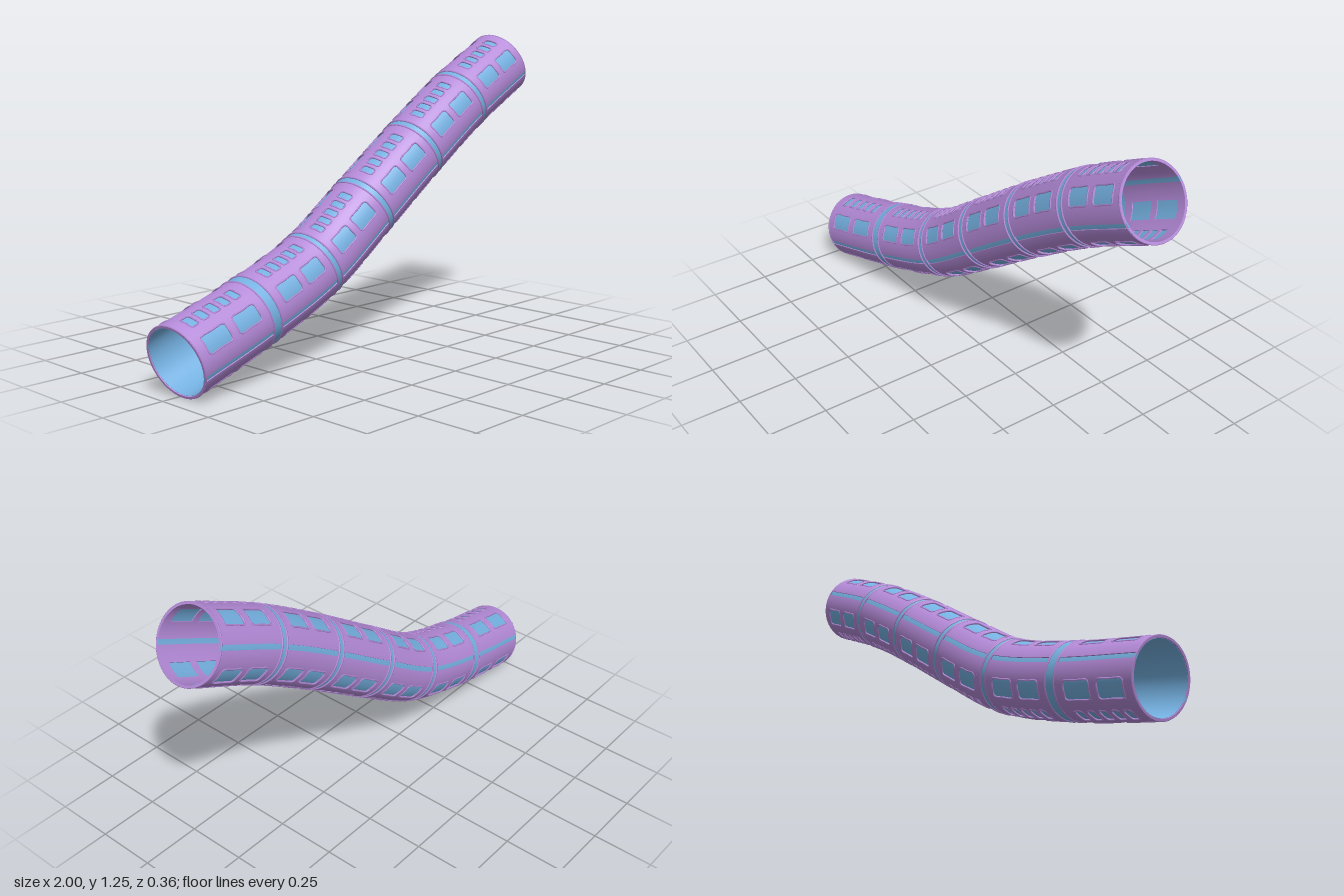
import * as THREE from 'three';
import { mergeGeometries } from 'three/addons/utils/BufferGeometryUtils.js';

const purple = new THREE.MeshStandardMaterial({ color: 0xb48ad8, side: THREE.DoubleSide });
const blue = new THREE.MeshStandardMaterial({ color: 0x74b0e0, side: THREE.DoubleSide });

// Centre line, one point per joint between tunnel sections
const SECTIONS = 6;
const path = new THREE.CatmullRomCurve3([
  [-0.965, 0.142, 0.033], [-0.595, 0.248, 0], [-0.255, 0.378, -0.022], [0.04, 0.573, -0.028],
  [0.34, 0.782, -0.028], [0.635, 0.972, -0.03], [0.93, 1.127, -0.034],
].map((p) => new THREE.Vector3(...p)));

const R_IN = 0.134, R_GLASS = 0.138, R_OUT = 0.143;
const rad = THREE.MathUtils.degToRad;

// Axes at section position s (0..6) and angle a (degrees from the top towards +z)
function frame(s, a) {
  const t = THREE.MathUtils.clamp(s / SECTIONS, 0, 1);
  const T = path.getTangent(t);
  const Z = T.clone().cross(new THREE.Vector3(0, 1, 0)).normalize();
  const U = Z.clone().cross(T);
  const c = Math.cos(rad(a)), n = Math.sin(rad(a));
  const R = U.clone().multiplyScalar(c).addScaledVector(Z, n);
  const A = Z.clone().multiplyScalar(c).addScaledVector(U, -n);
  return { C: path.getPoint(t), T, R, A };
}
function at(s, a, r) {
  const f = frame(s, a);
  return f.C.addScaledVector(f.R, r);
}

// A box bent onto the tunnel: x runs along it, y outwards, z around it
function block(s0, s1, a0, a1, r0, r1) {
  const ns = Math.max(1, Math.ceil((s1 - s0) * 10)), na = Math.max(1, Math.ceil((a1 - a0) / 5));
  const g = new THREE.BoxGeometry(1, 1, 1, ns, 1, na);
  const p = g.attributes.position, n = g.attributes.normal;
  for (let i = 0; i < p.count; i++) {
    const f = frame(s0 + (p.getX(i) + 0.5) * (s1 - s0), a0 + (p.getZ(i) + 0.5) * (a1 - a0));
    const v = f.C.addScaledVector(f.R, r0 + (p.getY(i) + 0.5) * (r1 - r0));
    const m = f.T.multiplyScalar(n.getX(i)).addScaledVector(f.R, n.getY(i)).addScaledVector(f.A, n.getZ(i));
    p.setXYZ(i, v.x, v.y, v.z);
    n.setXYZ(i, m.x, m.y, m.z);
  }
  return g;
}

function loopTube(points, segments, radius) {
  return new THREE.TubeGeometry(new THREE.CatmullRomCurve3(points, true), segments, radius, 5, true);
}

// Rounded moulding around a window
function moulding(s0, s1, a0, a1) {
  const ds = 0.018, da = 2.5, r = R_OUT - 0.0005;
  const pts = [
    [s0 + ds, a0], [(s0 + s1) / 2, a0], [s1 - ds, a0], [s1, a0 + da], [s1, (a0 + a1) / 2], [s1, a1 - da],
    [s1 - ds, a1], [(s0 + s1) / 2, a1], [s0 + ds, a1], [s0, a1 - da], [s0, (a0 + a1) / 2], [s0, a0 + da],
  ];
  return loopTube(pts.map(([s, a]) => at(s, a, r)), 32, 0.0035);
}

// Ring around the whole tunnel
function hoop(s, r, thick) {
  const pts = [];
  for (let a = 0; a < 360; a += 15) pts.push(at(s, a, r));
  return loopTube(pts, 72, thick);
}

export function createModel() {
  const group = new THREE.Group();
  const shell = [], mouldings = [], panes = [], stripes = [], bands = [], hoops = [];

  // Eight columns around, the same again half a turn on
  const kinds = ['vent', 'window', 'stripe', 'window'];
  const halfWidth = { vent: 12, window: 14, stripe: 4 };
  const openings = {
    window: [[0.12, 0.45], [0.55, 0.88]],
    vent: [0, 1, 2, 3, 4].map((i) => [0.14 + i * 0.152, 0.24 + i * 0.152]),
  };
  const bandHalf = (k) => (k === 0 || k === SECTIONS ? 0 : k === 1 ? 0.06 : 0.042);

  for (let k = 0; k < SECTIONS; k++) {
    const s0 = k + bandHalf(k), s1 = k + 1 - bandHalf(k + 1);
    for (let c = 0; c < 8; c++) {
      const kind = kinds[c % 4], mid = 17 + c * 45;
      const a0 = mid - halfWidth[kind], a1 = mid + halfWidth[kind];
      const next = mid + 45 - halfWidth[kinds[(c + 1) % 4]];
      // Solid strip between this column and the next
      shell.push(block(s0, s1, a1, next, R_IN, R_OUT));
      if (kind === 'stripe') {
        stripes.push(block(s0, s1, a0, a1, R_IN, R_GLASS + 0.001));
        continue;
      }
      // Bars between the openings, with a pane and moulding in each
      let s = s0;
      for (const [u0, u1] of openings[kind]) {
        const w0 = s0 + u0 * (s1 - s0), w1 = s0 + u1 * (s1 - s0);
        shell.push(block(s, w0, a0, a1, R_IN, R_OUT));
        panes.push(block(w0, w1, a0, a1, R_GLASS - 0.001, R_GLASS));
        mouldings.push(moulding(w0, w1, a0, a1));
        s = w1;
      }
      shell.push(block(s, s1, a0, a1, R_IN, R_OUT));
    }
    // Joint band with a hoop on each side
    if (k > 0) {
      bands.push(block(k - bandHalf(k), k + bandHalf(k), 0, 360, R_IN, R_OUT - 0.001));
      for (const d of [-1, 1]) hoops.push(hoop(k + d * bandHalf(k), R_OUT, 0.004));
    }
  }
  for (const s of [0.008, SECTIONS - 0.008]) hoops.push(hoop(s, R_OUT - 0.001, 0.003));

  // Inner lining of the first section
  const lining = [block(0.01, 0.94, 0, 360, R_IN - 0.002, R_IN - 0.001)];

  const parts = [
    ['tunnelShell', shell, purple], ['windowMouldings', mouldings, purple], ['jointHoops', hoops, purple],
    ['windowPanes', panes, blue], ['sideStripes', stripes, blue], ['jointBands', bands, blue],
    ['entranceLining', lining, blue],
  ];
  for (const [name, list, material] of parts) {
    const mesh = new THREE.Mesh(mergeGeometries(list), material);
    mesh.name = name;
    group.add(mesh);
  }
  return group;
}
